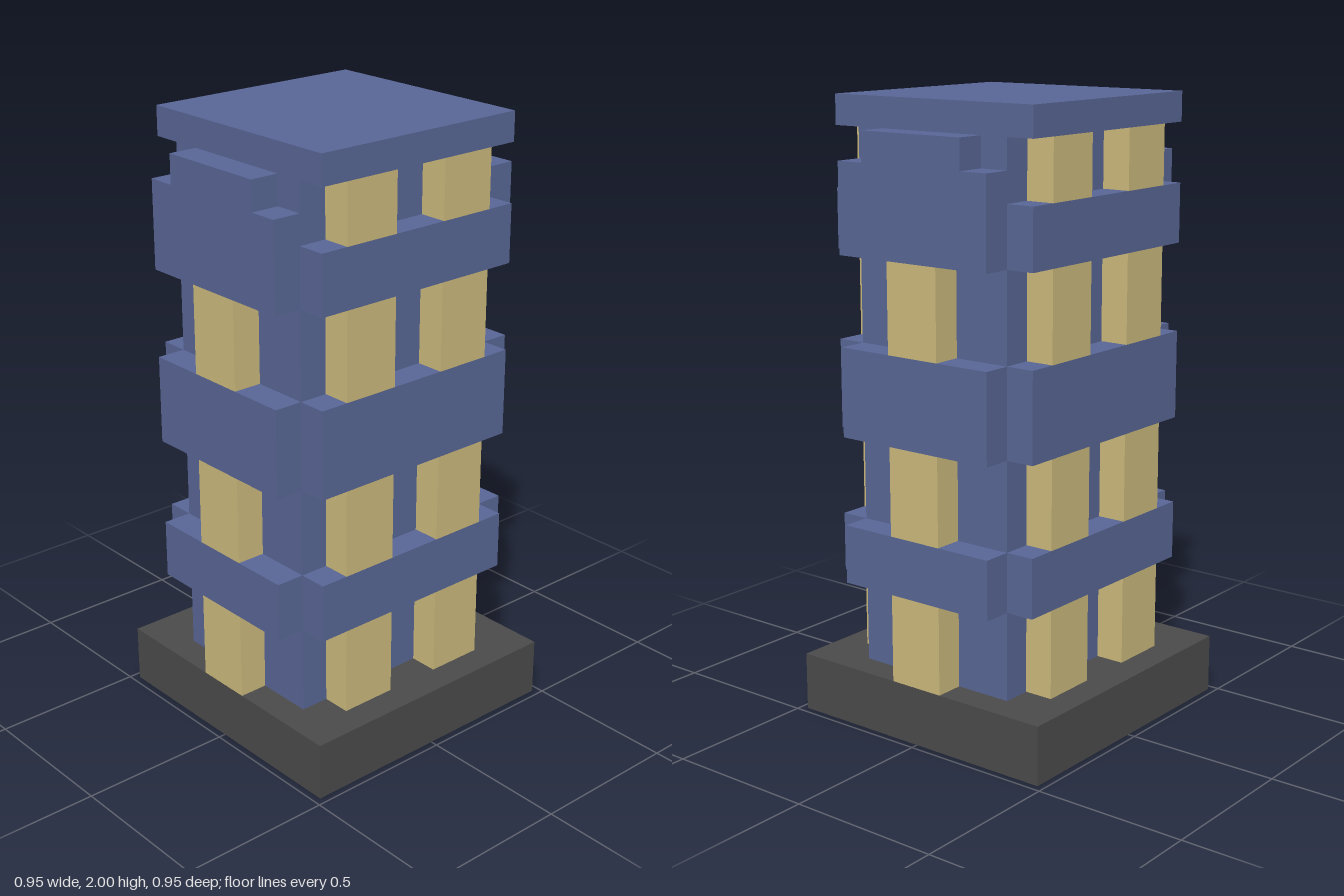
import * as THREE from 'three';

const U = 2 / 21; // the tower is laid out on a grid, 21 units tall

export function createModel() {
  const blue = new THREE.MeshStandardMaterial({ color: 0x586594 });
  blue.name = 'blue wall';
  const yellow = new THREE.MeshStandardMaterial({ color: 0xc9b77b });
  yellow.name = 'yellow window';
  const grey = new THREE.MeshStandardMaterial({ color: 0x4a4a4a });
  grey.name = 'dark grey base';

  const model = new THREE.Group();
  model.name = 'tower';

  const add = (name, geometry, material) => {
    const mesh = new THREE.Mesh(geometry, material);
    mesh.name = name;
    model.add(mesh);
  };

  // Box from grid ranges [min, max]
  const box = (name, material, [x0, x1], [y0, y1], [z0, z1]) => {
    const g = new THREE.BoxGeometry((x1 - x0) * U, (y1 - y0) * U, (z1 - z0) * U);
    g.translate((x0 + x1) / 2 * U, (y0 + y1) / 2 * U, (z0 + z1) / 2 * U);
    add(name, g, material);
  };

  // Ground plan (x, z) raised from y = 0 by one grid unit
  const points = (list) => list.map(([x, z]) => new THREE.Vector2(x * U, -z * U));
  const raise = (shape) =>
    new THREE.ExtrudeGeometry(shape, { depth: U, bevelEnabled: false }).rotateX(-Math.PI / 2);

  // Base: lower frame around an inlaid floor, covered by a slab
  const floorPlan = [[-4, -4], [3, -4], [3, -3], [4, -3], [4, 4], [-4, 4]];
  const frame = new THREE.Shape(points([[-5, -5], [5, -5], [5, 5], [-5, 5]]));
  frame.holes.push(new THREE.Path(points(floorPlan)));
  add('baseFrame', raise(frame), grey);
  add('floor', raise(new THREE.Shape(points(floorPlan))), blue);
  box('baseSlab', grey, [-5, 5], [1, 2], [-5, 5]);

  // Core and roof
  box('core', blue, [-4, 4], [2, 20], [-3, 3]);
  box('roof', blue, [-4, 4], [20, 21], [-4, 4]);

  for (const s of [-1, 1]) {
    const out = (a, b) => (s > 0 ? [a, b] : [-b, -a]);

    // Front and back: bands and paired windows
    for (const y of [[5, 7], [10, 13], [16, 18]]) box('faceBand', blue, [-4, 4], y, out(3, 4));
    for (const y of [[2, 5], [7, 10], [13, 16], [18, 20]]) {
      for (const x of [[-3, -1], [1, 3]]) box('faceWindow', yellow, x, y, out(3, 4));
    }

    // Sides: bands, single windows and a stepped crest
    for (const y of [[5, 7], [10, 13], [16, 19]]) box('sideBand', blue, out(4, 5), y, [-3, 3]);
    box('sideCrest', blue, out(4, 5), [19, 20], [-2, 2]);
    for (const y of [[2, 5], [7, 10], [13, 16]]) box('sideWindow', yellow, out(4, 5), y, [-1, 1]);
  }

  return model;
}
